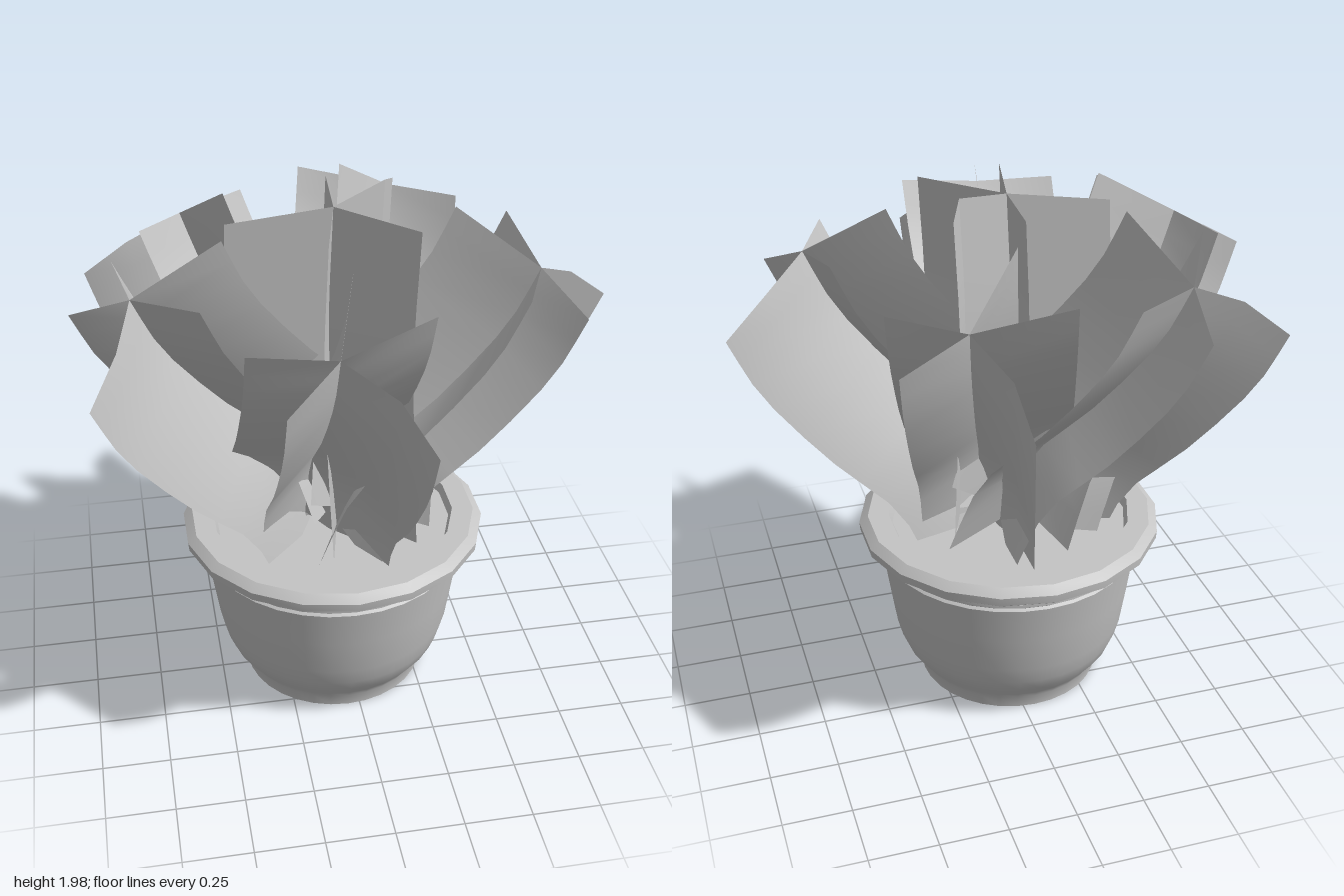
import * as THREE from 'three';
import { toCreasedNormals } from 'three/addons/utils/BufferGeometryUtils.js';

const grey = new THREE.MeshStandardMaterial({ color: 0xc4c4c4, side: THREE.DoubleSide });
grey.name = 'plainGrey';
const CENTRE = new THREE.Vector3(-0.045, 0, -0.035);

// A folded sheet: a cross-section of offsets carried along a curved spine
function leafSheet(spine, section) {
  const cols = section.length;
  const geo = new THREE.PlaneGeometry(1, 1, cols - 1, 10);
  const pos = geo.attributes.position;
  const curve = new THREE.CatmullRomCurve3(spine);
  for (let i = 0; i < pos.count; i++) {
    const p = curve.getPoint(THREE.MathUtils.clamp(pos.getY(i) + 0.5, 0, 1));
    p.add(section[i % cols]);
    pos.setXYZ(i, p.x, p.y, p.z);
  }
  geo.computeVertexNormals();
  return toCreasedNormals(geo, 0.6);
}

// A clump of sheets; offsets are outward, up and sideways, turned to the angle
function addClump(parent, name, spine, angle, sections) {
  const clump = new THREE.Group();
  clump.name = name;
  const c = Math.cos(angle), s = Math.sin(angle);
  sections.forEach((section, i) => {
    const turned = section.map(([r, y, t]) => new THREE.Vector3(r * c - t * s, y, r * s + t * c));
    const mesh = new THREE.Mesh(leafSheet(spine, turned), grey);
    mesh.name = `leaf${i + 1}`;
    clump.add(mesh);
  });
  parent.add(clump);
}

function addLathe(parent, name, profile, sides) {
  const points = profile.map(([r, y]) => new THREE.Vector2(r, y));
  const mesh = new THREE.Mesh(toCreasedNormals(new THREE.LatheGeometry(points, sides), 0.6), grey);
  mesh.name = name;
  mesh.position.copy(CENTRE);
  parent.add(mesh);
}

export function createModel() {
  const model = new THREE.Group();
  model.name = 'pottedPlant';

  // Pot wall, open underneath, with a rounded foot and a bead below the rim
  addLathe(model, 'potWall', [
    [0.348, 0], [0.352, 0.045], [0.37, 0.075], [0.412, 0.13], [0.432, 0.18], [0.45, 0.25],
    [0.472, 0.4], [0.49, 0.535], [0.492, 0.548], [0.482, 0.556], [0.492, 0.564],
    [0.492, 0.578], [0.485, 0.585], [0.495, 0.605],
  ], 32);
  // Overhanging rim and the soil disc inside it
  addLathe(model, 'rim', [
    [0.49, 0.59], [0.54, 0.608], [0.57, 0.63], [0.573, 0.662], [0.54, 0.688], [0.46, 0.688],
    [0.445, 0.65],
  ], 18);
  addLathe(model, 'soil', [[0.447, 0.655], [0, 0.655]], 18);

  // Five leaning clumps, given by the plan position of their tips
  const tips = [[0.28, -0.66], [0.65, 0.17], [-0.14, 0.7], [-0.75, 0.17], [-0.53, -0.52]];
  const reach = [0.04, 0.22, 0.53, 0.86, 1];
  const heights = [0.7, 1.0, 1.23, 1.53, 1.74];
  const spread = [
    [[-0.04, 0.01, 0.29], [0, 0, 0], [-0.12, 0.07, -0.32]],
    [[-0.3, 0.18, -0.08], [0, 0, 0], [0.16, -0.1, 0.18]],
    [[0, 0, 0], [0.115, -0.09, -0.17], [0.25, -0.22, -0.27]],
  ];
  tips.forEach(([x, z], n) => {
    const angle = Math.atan2(z + 0.03, x + 0.1);
    // Each spine starts a little to one side of the pot's axis
    const baseX = CENTRE.x - 0.11 * Math.sin(angle);
    const baseZ = CENTRE.z + 0.11 * Math.cos(angle);
    const spine = reach.map((f, i) => new THREE.Vector3(
      THREE.MathUtils.lerp(baseX, x, f), heights[i], THREE.MathUtils.lerp(baseZ, z, f)));
    addClump(model, `outerClump${n + 1}`, spine, angle, spread);
  });

  // Upright clump in the middle
  const upright = [[-0.03, 0.7, 0], [-0.05, 1.1, 0.01], [-0.06, 1.5, 0], [-0.04, 1.94, -0.01]]
    .map((p) => new THREE.Vector3(...p));
  addClump(model, 'middleClump', upright, 0, [
    [[-0.07, 0, 0.32], [0, 0, 0], [0.02, 0, -0.28]],
    [[-0.37, -0.05, -0.03], [0, 0, 0], [0.25, 0, 0.26]],
    [[0, 0, 0], [0.2, 0.04, -0.11], [0.25, 0, -0.22]],
  ]);
  return model;
}
